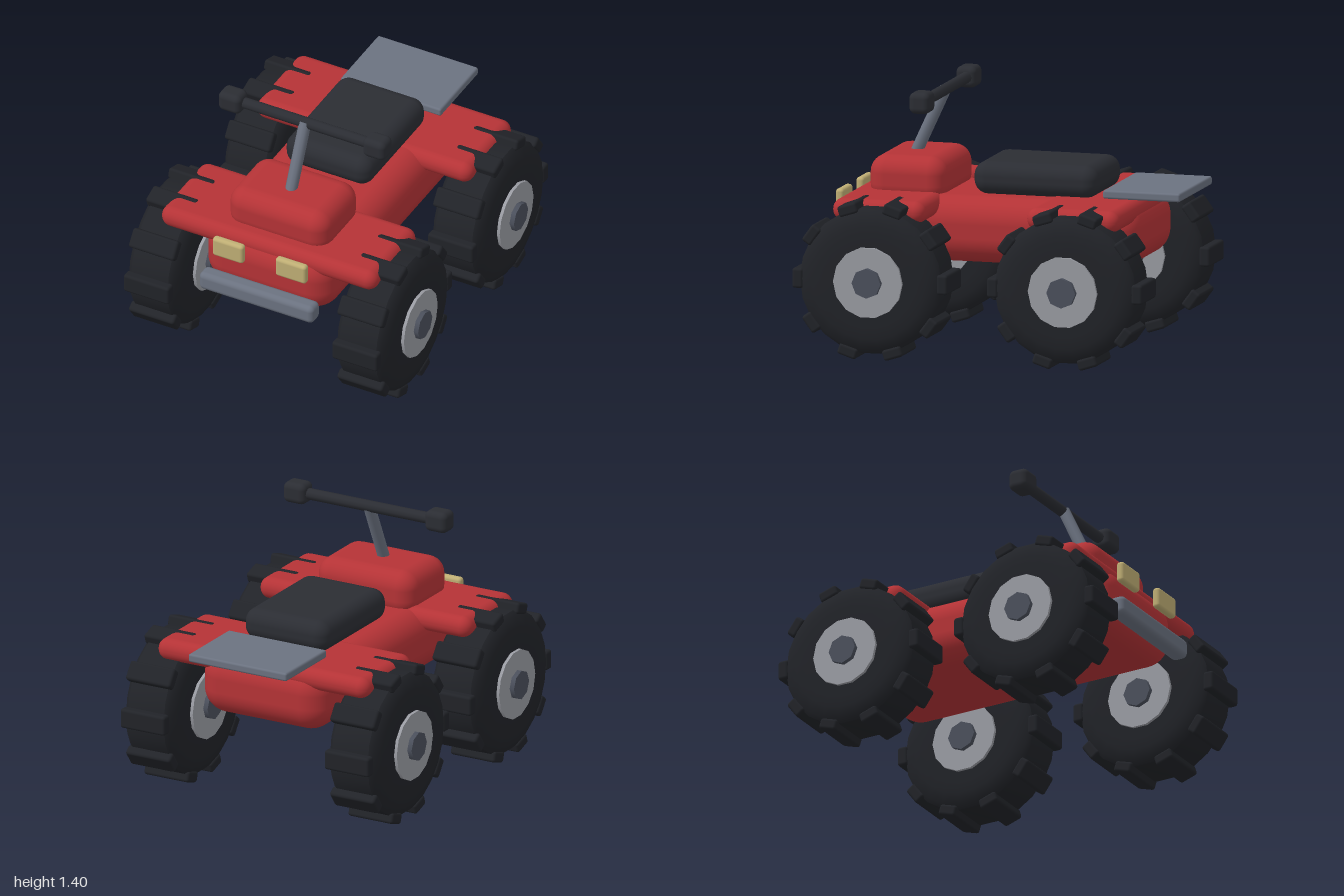
import * as THREE from 'three';
import { RoundedBoxGeometry } from 'three/addons/geometries/RoundedBoxGeometry.js';
import { toCreasedNormals } from 'three/addons/utils/BufferGeometryUtils.js';

const paint = (color) => new THREE.MeshStandardMaterial({ color });
const red = paint(0xb53336);
const rubber = paint(0x212328);
const black = paint(0x2b2d33);
const steel = paint(0x6b7280);
const rimGrey = paint(0x9a9ca3);
const capGrey = paint(0x4b505c);
const lamp = paint(0xbfae74);

function add(parent, name, geometry, material, x = 0, y = 0, z = 0) {
  const mesh = new THREE.Mesh(geometry, material);
  mesh.name = name;
  mesh.position.set(x, y, z);
  parent.add(mesh);
  return mesh;
}

const box = (w, h, d, r, segments = 4) => new RoundedBoxGeometry(w, h, d, segments, r);

// Cylinder lying along the x axis
const axleCylinder = (radius, width, sides) =>
  new THREE.CylinderGeometry(radius, radius, width, sides).rotateZ(Math.PI / 2);

function createWheel(name) {
  const wheel = new THREE.Group();
  wheel.name = name;

  // Tyre with tapered shoulders
  const half = [[0.39, 0.11], [0.37, 0.132], [0.31, 0.15], [0.25, 0.154], [0.16, 0.154]];
  const profile = [
    ...half.map(([r, w]) => new THREE.Vector2(r, -w)).reverse(),
    ...half.map(([r, w]) => new THREE.Vector2(r, w)),
  ];
  const tyre = new THREE.LatheGeometry(profile, 22).rotateZ(Math.PI / 2);
  add(wheel, 'tyre', toCreasedNormals(tyre, 0.7), rubber);

  // Tread lugs around the rim of the tyre
  const lugGeometry = box(0.272, 0.107, 0.06, 0.015, 2);
  for (let i = 0; i < 10; i++) {
    const a = (i / 10) * Math.PI * 2;
    const lug = add(wheel, 'treadLug', lugGeometry, rubber, 0, -Math.sin(a) * 0.398, Math.cos(a) * 0.398);
    lug.rotation.x = a;
  }

  // Rim and hub cap show on both sides
  add(wheel, 'rim', axleCylinder(0.19, 0.342, 14), rimGrey);
  add(wheel, 'hubCap', axleCylinder(0.08, 0.395, 8), capGrey);
  return wheel;
}

export function createModel() {
  const model = new THREE.Group();
  model.name = 'quadBike';

  // Body, fenders and tank
  add(model, 'body', box(0.77, 0.355, 1.63, 0.14, 6), red, 0, 0.6475, 0.036);
  add(model, 'frontFender', box(1.29, 0.12, 0.51, 0.058), red, 0, 0.775, 0.566);
  add(model, 'rearFender', box(1.29, 0.12, 0.51, 0.058), red, 0, 0.775, -0.503);
  add(model, 'tank', box(0.6, 0.25, 0.425, 0.095), red, 0, 0.89, 0.515);

  // Seat and rear rack
  add(model, 'seat', box(0.515, 0.175, 0.685, 0.075), black, 0, 0.913, -0.18);
  add(model, 'rearRack', box(0.6, 0.046, 0.425, 0.012, 2), steel, 0, 0.87, -0.787);

  // Bumper and headlights
  add(model, 'bumper', box(0.685, 0.106, 0.095, 0.03), steel, 0, 0.544, 0.895);
  for (const side of [-1, 1]) {
    add(model, 'headlight', box(0.184, 0.115, 0.044, 0.018), lamp, side * 0.188, 0.768, 0.882);
  }

  // Steering post leaning back, with bar and grips
  const foot = new THREE.Vector3(0, 0.93, 0.572);
  const head = new THREE.Vector3(0, 1.345, 0.38);
  const middle = foot.clone().add(head).multiplyScalar(0.5);
  const postGeometry = new THREE.CylinderGeometry(0.033, 0.033, foot.distanceTo(head), 10);
  const post = add(model, 'steeringPost', postGeometry, steel, ...middle.toArray());
  post.quaternion.setFromUnitVectors(new THREE.Vector3(0, 1, 0), head.clone().sub(foot).normalize());
  add(model, 'handlebar', axleCylinder(0.031, 0.86, 10), black, 0, 1.34, 0.378);
  for (const side of [-1, 1]) {
    add(model, 'grip', box(0.135, 0.115, 0.113, 0.033), black, side * 0.432, 1.34, 0.381);
  }

  // Four wheels
  for (const [end, z] of [['front', 0.573], ['rear', -0.5]]) {
    for (const [side, x] of [['Left', 0.623], ['Right', -0.623]]) {
      const wheel = createWheel(`${end}${side}Wheel`);
      wheel.position.set(x, 0.421, z);
      model.add(wheel);
    }
  }
  return model;
}
